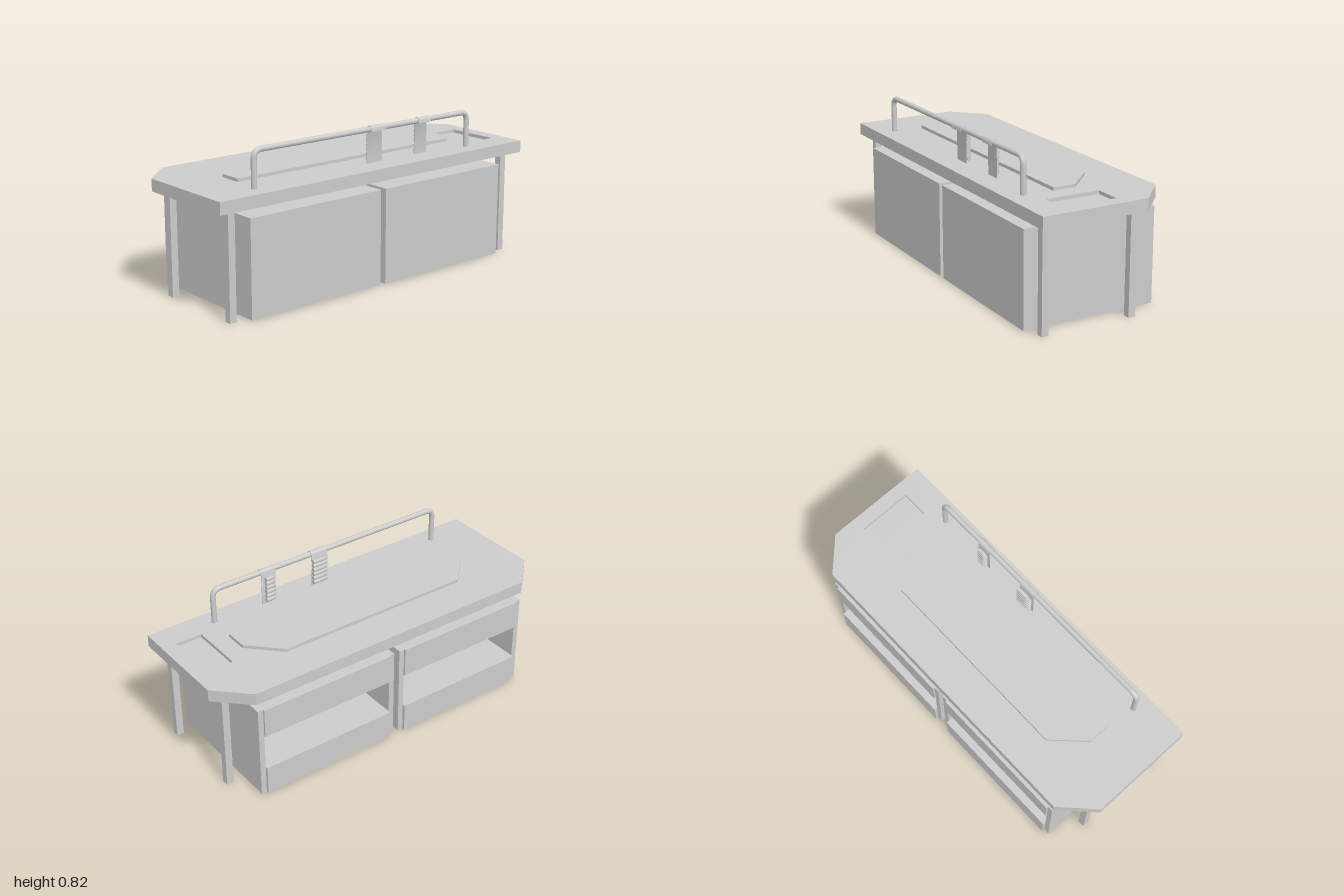
import * as THREE from 'three';
import { toCreasedNormals } from 'three/addons/utils/BufferGeometryUtils.js';

const material = new THREE.MeshStandardMaterial({ color: 0xcccccc });

function add(parent, name, geometry) {
  const mesh = new THREE.Mesh(geometry, material);
  mesh.name = name;
  parent.add(mesh);
  return mesh;
}

// Box given by its limits on each axis
function box(parent, name, [x0, x1], [y0, y1], [z0, z1]) {
  const mesh = add(parent, name, new THREE.BoxGeometry(x1 - x0, y1 - y0, z1 - z0));
  mesh.position.set((x0 + x1) / 2, (y0 + y1) / 2, (z0 + z1) / 2);
  return mesh;
}

const outline = (pts) => pts.map(([x, z]) => new THREE.Vector2(x, z));

// Horizontal slab from an (x, z) outline
function slab(parent, name, pts, y0, y1, hole) {
  const shape = new THREE.Shape(outline(pts));
  if (hole) shape.holes.push(new THREE.Path(outline(hole)));
  const geometry = new THREE.ExtrudeGeometry(shape, { depth: y1 - y0, bevelEnabled: false });
  geometry.rotateX(Math.PI / 2).translate(0, y1, 0);
  return add(parent, name, geometry);
}

// Cabinet with two closed drawers and an open shelf between them, facing the back
function cabinet(x0, x1) {
  const g = new THREE.Group();
  g.name = 'cabinet';
  const t = 0.03, y0 = 0.005, y1 = 0.507, back = -0.36, front = 0.372;
  const inner = [x0 + t, x1 - t];
  box(g, 'sidePanel', [x0, x0 + t], [y0, y1], [back, front]);
  box(g, 'sidePanel', [x1 - t, x1], [y0, y1], [back, front]);
  box(g, 'frontPanel', inner, [y0, y1], [front - t, front]);
  box(g, 'upperDrawer', inner, [0.35, y1], [-0.37, front - t]);
  box(g, 'lowerDrawer', inner, [y0, 0.16], [-0.375, front - t]);
  return g;
}

// Strip hooked over the rail, carrying a column of cartridges on its back face
function cartridgeHanger(x0, x1, tipX, baseX) {
  const g = new THREE.Group();
  g.name = 'cartridgeHanger';
  const cz = 0.28, cy = 0.802, ri = 0.015, ro = 0.018;
  const s = new THREE.Shape();
  s.moveTo(cz + ro, 0.79);
  s.lineTo(cz + ro, cy);
  s.absarc(cz, cy, ro, 0, Math.PI, false);
  s.lineTo(cz - ro, 0.622);
  s.lineTo(cz - ri, 0.622);
  s.lineTo(cz - ri, cy);
  s.absarc(cz, cy, ri, Math.PI, 0, true);
  s.lineTo(cz + ri, 0.79);
  s.closePath();
  const strip = new THREE.ExtrudeGeometry(s, { depth: x1 - x0, bevelEnabled: false, curveSegments: 12 });
  strip.rotateY(-Math.PI / 2).translate(x1, 0, 0);
  add(g, 'strip', toCreasedNormals(strip, 0.6));

  const r = 0.0115, len = baseX - tipX;
  const profile = [[0, 0], [r, 0], [r, 0.6 * len], [0.62 * r, 0.7 * len],
    [0.58 * r, 0.8 * len], [0.35 * r, 0.93 * len], [0, len]];
  const cartridge = toCreasedNormals(
    new THREE.LatheGeometry(outline(profile), 16).rotateZ(Math.PI / 2), 0.6);
  for (let i = 0; i < 6; i++) {
    add(g, 'cartridge', cartridge).position.set(baseX, 0.648 + i * 0.0243, 0.25);
  }
  return g;
}

// Overhead rail with rounded corners
function railGeometry() {
  const x0 = -0.738, x1 = 0.668, y0 = 0.605, y1 = 0.802, z = 0.28, c = 0.045;
  const v = (x, y) => new THREE.Vector3(x, y, z);
  const path = new THREE.CurvePath();
  path.add(new THREE.LineCurve3(v(x0, y0), v(x0, y1 - c)));
  path.add(new THREE.QuadraticBezierCurve3(v(x0, y1 - c), v(x0, y1), v(x0 + c, y1)));
  path.add(new THREE.LineCurve3(v(x0 + c, y1), v(x1 - c, y1)));
  path.add(new THREE.QuadraticBezierCurve3(v(x1 - c, y1), v(x1, y1), v(x1, y1 - c)));
  path.add(new THREE.LineCurve3(v(x1, y1 - c), v(x1, y0)));
  return new THREE.TubeGeometry(path, 200, 0.0145, 14);
}

export function createModel() {
  const model = new THREE.Group();
  model.name = 'workbench';

  // Worktop with clipped back corners and a shallow tray recess
  slab(model, 'worktop',
    [[-1, 0.372], [1, 0.372], [1, -0.2], [0.835, -0.36], [-0.835, -0.36], [-1, -0.2]],
    0.55, 0.614,
    [[0.78, 0.225], [0.78, -0.07], [0.925, -0.07], [0.925, 0.225]]);
  box(model, 'trayFloor', [0.78, 0.925], [0.55, 0.596], [-0.07, 0.225]);

  // Raised work mat
  slab(model, 'workMat',
    [[-0.72, 0.122], [0.68, 0.122], [0.68, 0], [0.525, -0.157], [-0.565, -0.157], [-0.72, 0]],
    0.61, 0.631);

  // Legs
  for (const side of [-1, 1]) {
    for (const z of [0.311, -0.176]) {
      box(model, 'leg', [side * 0.908 - 0.019, side * 0.908 + 0.019], [0, 0.55], [z - 0.019, z + 0.019]);
    }
  }

  model.add(cabinet(-0.83, -0.018), cabinet(0.015, 0.83));

  add(model, 'rail', railGeometry());
  model.add(cartridgeHanger(-0.02, 0.08, -0.02, 0.08), cartridgeHanger(0.305, 0.39, 0.31, 0.372));

  return model;
}
